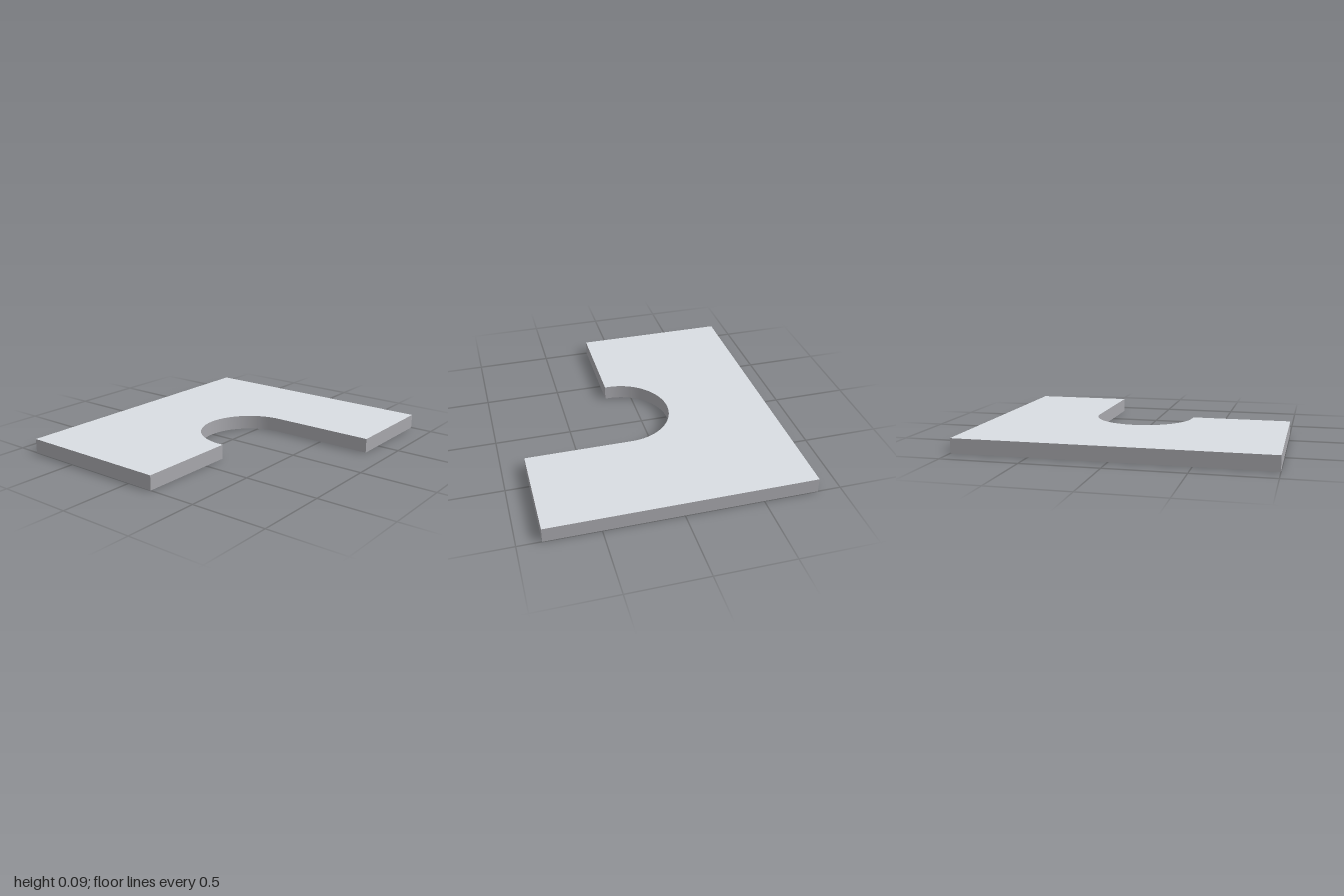
import * as THREE from 'three';
import { toCreasedNormals } from 'three/addons/utils/BufferGeometryUtils.js';

const THICKNESS = 0.095;
const RADIUS = 0.333;   // half width of the rounded notch
const ARC_Z = 0.153;    // centre of the notch arc
const BACK = -0.85, FRONT = 0.85, SHORT_FRONT = 0.18;

function paint(name, color) {
  const material = new THREE.MeshStandardMaterial({ color });
  material.name = name;
  return material;
}

export function createModel() {
  const model = new THREE.Group();
  const lightGrey = paint('light grey', 0xd9dde2);
  const midGrey = paint('mid grey', 0xa7a7ac);

  // Outline of the plate, drawn with shape y = -z
  const outline = new THREE.Shape();
  outline.moveTo(-1, -BACK);
  outline.lineTo(-1, -SHORT_FRONT);
  outline.lineTo(-RADIUS, -SHORT_FRONT);
  outline.lineTo(-RADIUS, -ARC_Z);
  outline.absarc(0, -ARC_Z, RADIUS, Math.PI, 0, true);
  outline.lineTo(RADIUS, -FRONT);
  outline.lineTo(1, -FRONT);
  outline.lineTo(1, -BACK);
  outline.closePath();

  // Flat plate with one long arm, one short arm and a rounded notch between
  const extruded = new THREE.ExtrudeGeometry(outline, {
    depth: THICKNESS, bevelEnabled: false, curveSegments: 48,
  });
  extruded.rotateX(-Math.PI / 2);
  const geometry = toCreasedNormals(extruded, 0.5);

  // Caps come first, bottom then top, followed by the walls
  const [caps, walls] = extruded.groups.map((group) => ({ ...group }));
  geometry.clearGroups();
  geometry.addGroup(0, caps.count / 2, 1);
  geometry.addGroup(caps.count / 2, caps.count / 2, 0);
  geometry.addGroup(walls.start, walls.count, 1);

  const plate = new THREE.Mesh(geometry, [lightGrey, midGrey]);
  plate.name = 'notchedPlate';
  model.add(plate);
  return model;
}
